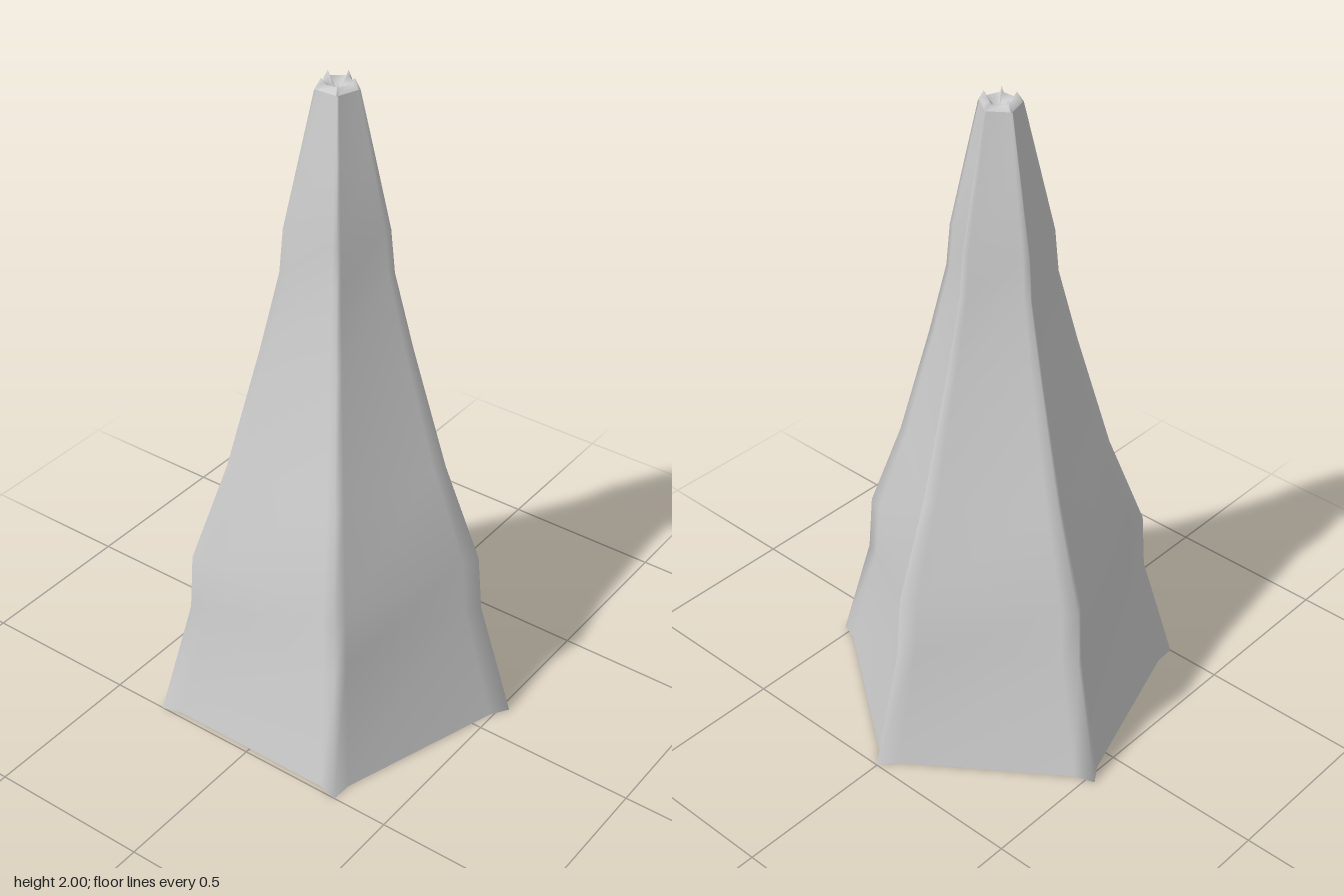
import * as THREE from 'three';

const SIDES = 5;
const RIB_ANGLE = 0.079; // half-width of a corner rib, in radians
const RIB_ROOT = 0.9125; // radius of the rib root relative to its tip

// Pentagon outline whose corners flare out into small ribs
function ring(y, radius, cx, rootDrop = 0) {
  const points = [];
  for (let i = 0; i < SIDES; i++) {
    for (const s of [-1, 0, 1]) {
      const a = (i / SIDES) * Math.PI * 2 + s * RIB_ANGLE;
      const r = s === 0 ? radius : radius * RIB_ROOT;
      points.push([cx + Math.cos(a) * r, s === 0 ? y : y - rootDrop, Math.sin(a) * r]);
    }
  }
  return points;
}

// Skin a stack of rings, optionally closed on top by a fan to one point
function loft(name, rings, apex) {
  const n = SIDES * 3;
  const positions = rings.flat(2);
  const index = [];
  for (let r = 0; r < rings.length - 1; r++) {
    for (let i = 0; i < n; i++) {
      const j = (i + 1) % n;
      const a = r * n + i, b = r * n + j, c = a + n, d = b + n;
      index.push(a, c, b, b, c, d);
    }
  }
  if (apex) {
    const last = (rings.length - 1) * n;
    const centre = rings.length * n;
    positions.push(...apex);
    for (let i = 0; i < n; i++) index.push(centre, last + ((i + 1) % n), last + i);
  }
  const geometry = new THREE.BufferGeometry();
  geometry.setAttribute('position', new THREE.Float32BufferAttribute(positions, 3));
  geometry.setIndex(index);
  geometry.computeVertexNormals();
  const material = new THREE.MeshStandardMaterial({ color: 0xcccccc, side: THREE.DoubleSide });
  const mesh = new THREE.Mesh(geometry, material);
  mesh.name = name;
  return mesh;
}

export function createModel() {
  const group = new THREE.Group();
  group.name = 'pentagonalSpire';

  // Hollow walls, open at the base: height, corner radius, axis offset
  const profile = [
    [0, 0.553, -0.053],
    [0.37, 0.45, -0.051],
    [0.55, 0.437, -0.053],
    [0.85, 0.326, -0.048],
    [1.22, 0.222, -0.045],
    [1.45, 0.164, -0.043],
    [1.58, 0.152, -0.043],
    [1.8, 0.102, -0.041],
    [1.97, 0.063, -0.04],
  ];
  group.add(loft('walls', profile.map((p) => ring(...p))));

  // Crown of five small points around a sunken centre
  const crown = [ring(1.97, 0.063, -0.04), ring(2, 0.046, -0.038, 0.015), ring(1.975, 0.026, -0.037, 0.01)];
  group.add(loft('crown', crown, [-0.036, 1.95, 0]));

  return group;
}
